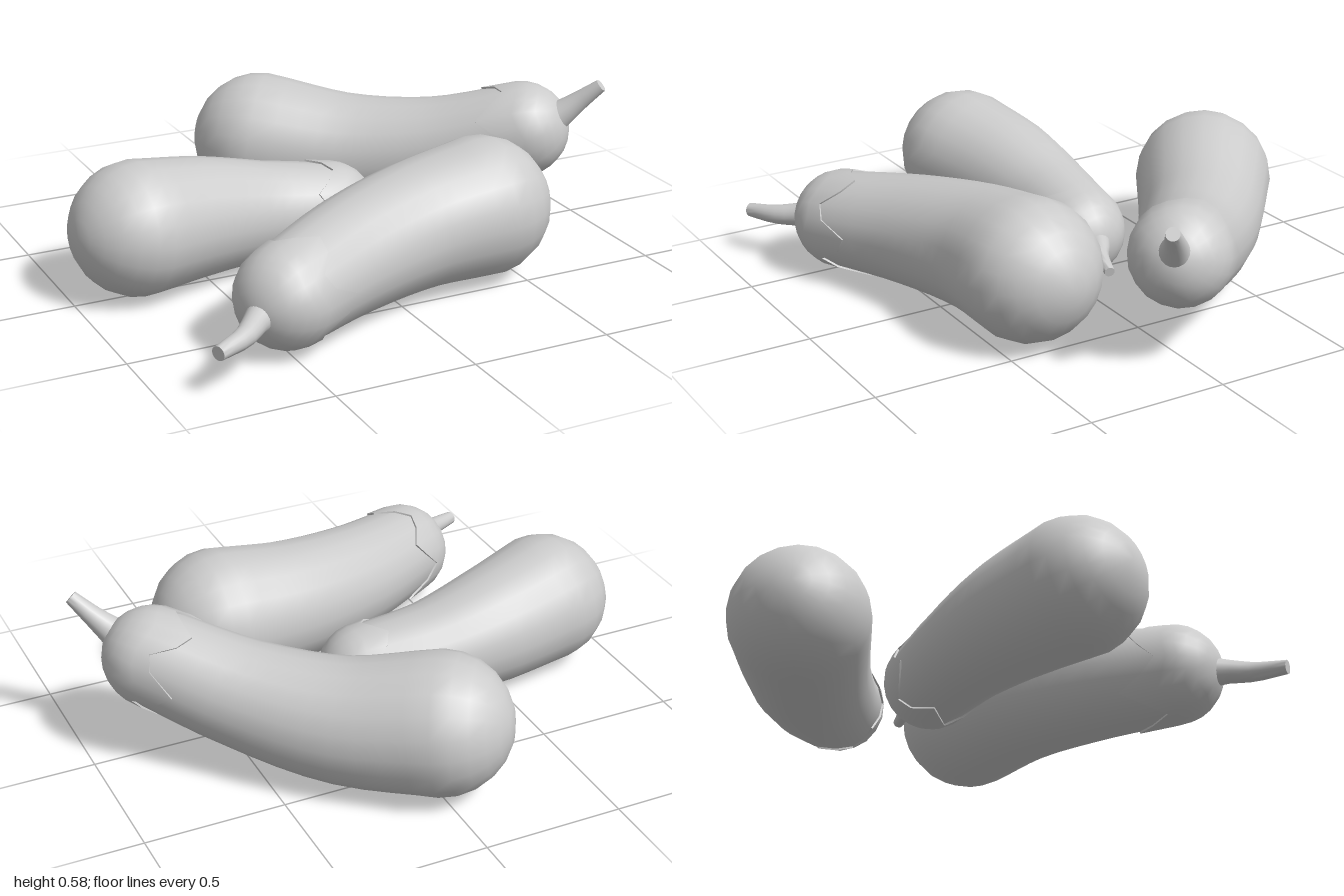
import * as THREE from 'three';
import { mergeVertices, toCreasedNormals } from 'three/addons/utils/BufferGeometryUtils.js';

const SIDES = 20;
const material = new THREE.MeshStandardMaterial({ color: 0xcccccc, side: THREE.DoubleSide });

// Closed-ring loft: pointAt(row, side) gives the surface points.
function loft(rows, pointAt) {
  const pos = [], index = [];
  for (let i = 0; i < rows; i++)
    for (let j = 0; j < SIDES; j++) pos.push(...pointAt(i, j).toArray());
  for (let i = 0; i < rows - 1; i++)
    for (let j = 0; j < SIDES; j++) {
      const k = (j + 1) % SIDES;
      const a = i * SIDES + j, b = i * SIDES + k, c = a + SIDES, d = b + SIDES;
      index.push(a, b, c, b, d, c);
    }
  let g = new THREE.BufferGeometry();
  g.setAttribute('position', new THREE.Float32BufferAttribute(pos, 3));
  g.setIndex(index);
  g = mergeVertices(g, 1e-4);
  g.computeVertexNormals();
  return g;
}

// Surface around a spine of [x, y, z, radius]; s in 0..1 runs along the spine,
// s in -1..0 and 1..2 runs over the rounded ends.
function skin(spine) {
  const curve = new THREE.CatmullRomCurve3(spine.map(p => new THREE.Vector3(p[0], p[1], p[2])));
  return (s, j, lift = 0) => {
    const t = THREE.MathUtils.clamp(s, 0, 1);
    const f = t * (spine.length - 1), i = Math.min(Math.floor(f), spine.length - 2);
    const r = THREE.MathUtils.lerp(spine[i][3], spine[i + 1][3], f - i) + lift;
    const T = curve.getTangent(t);
    const S = new THREE.Vector3(0, 1, 0).cross(T).normalize();
    const U = T.clone().cross(S);
    const a = j / SIDES * Math.PI * 2, phi = (s - t) * Math.PI / 2;
    return curve.getPoint(t)
      .addScaledVector(S, r * Math.cos(phi) * Math.cos(a))
      .addScaledVector(U, r * Math.cos(phi) * Math.sin(a))
      .addScaledVector(T, r * Math.sin(phi));
  };
}

function add(group, name, geometry) {
  const mesh = new THREE.Mesh(geometry, material);
  mesh.name = name;
  group.add(mesh);
}

function eggplant(name, spine, stem) {
  const g = new THREE.Group();
  g.name = name;
  const surface = skin(spine);

  // Body: round blossom end, tapering length, round stem end
  const stops = [];
  for (let i = 0; i <= 6; i++) stops.push(-1 + i / 6);
  for (let i = 1; i <= 12; i++) stops.push(i / 12);
  for (let i = 1; i <= 6; i++) stops.push(1 + i / 6);
  add(g, 'body', loft(stops.length, (i, j) => surface(stops[i], j)));

  // Calyx: thin cap with a jagged rim of five pointed lobes
  const lobe = [0.87, 0.95, 1.0, 0.93];
  const cap = loft(9, (i, j) => {
    const rim = lobe[j % 4] + 0.02 * Math.sin(j * 1.9);
    const s = THREE.MathUtils.lerp(rim, 2, Math.max(0, i - 1) / 7);
    return surface(s, j, i === 0 ? -0.003 : 0.007);
  });
  add(g, 'calyx', toCreasedNormals(cap, 0.9));

  // Stem: bent taper with a flat cut tip
  const stalk = skin(stem), n = 8;
  add(g, 'stem', toCreasedNormals(loft(n + 2, (i, j) => {
    const p = stalk(Math.min(i / n, 1), j);
    return i <= n ? p : new THREE.Vector3(...stem[stem.length - 1].slice(0, 3));
  }), 0.9));
  return g;
}

export function createModel() {
  const model = new THREE.Group();
  model.name = 'eggplants';
  model.add(
    eggplant('leftEggplant',
      [[-0.76, 0.24, -0.01, 0.238], [-0.5, 0.215, -0.07, 0.213], [-0.25, 0.185, -0.09, 0.18], [0, 0.165, -0.07, 0.16]],
      [[0.11, 0.165, -0.07, 0.055], [0.17, 0.165, -0.05, 0.038], [0.23, 0.16, -0.02, 0.026], [0.325, 0.14, 0.005, 0.018]]),
    eggplant('frontEggplant',
      [[0.38, 0.253, 0.36, 0.25], [0.1, 0.235, 0.385, 0.224], [-0.2, 0.212, 0.48, 0.2], [-0.49, 0.19, 0.63, 0.173]],
      [[-0.59, 0.175, 0.68, 0.062], [-0.65, 0.17, 0.735, 0.043], [-0.72, 0.16, 0.8, 0.035], [-0.83, 0.152, 0.855, 0.025]]),
    eggplant('backEggplant',
      [[-0.02, 0.255, -0.625, 0.25], [0.25, 0.225, -0.425, 0.22], [0.51, 0.27, -0.2, 0.19], [0.76, 0.37, 0.01, 0.17]],
      [[0.82, 0.4, 0.07, 0.075], [0.87, 0.445, 0.11, 0.05], [0.92, 0.495, 0.145, 0.036], [0.98, 0.56, 0.195, 0.024]]),
  );
  return model;
}
